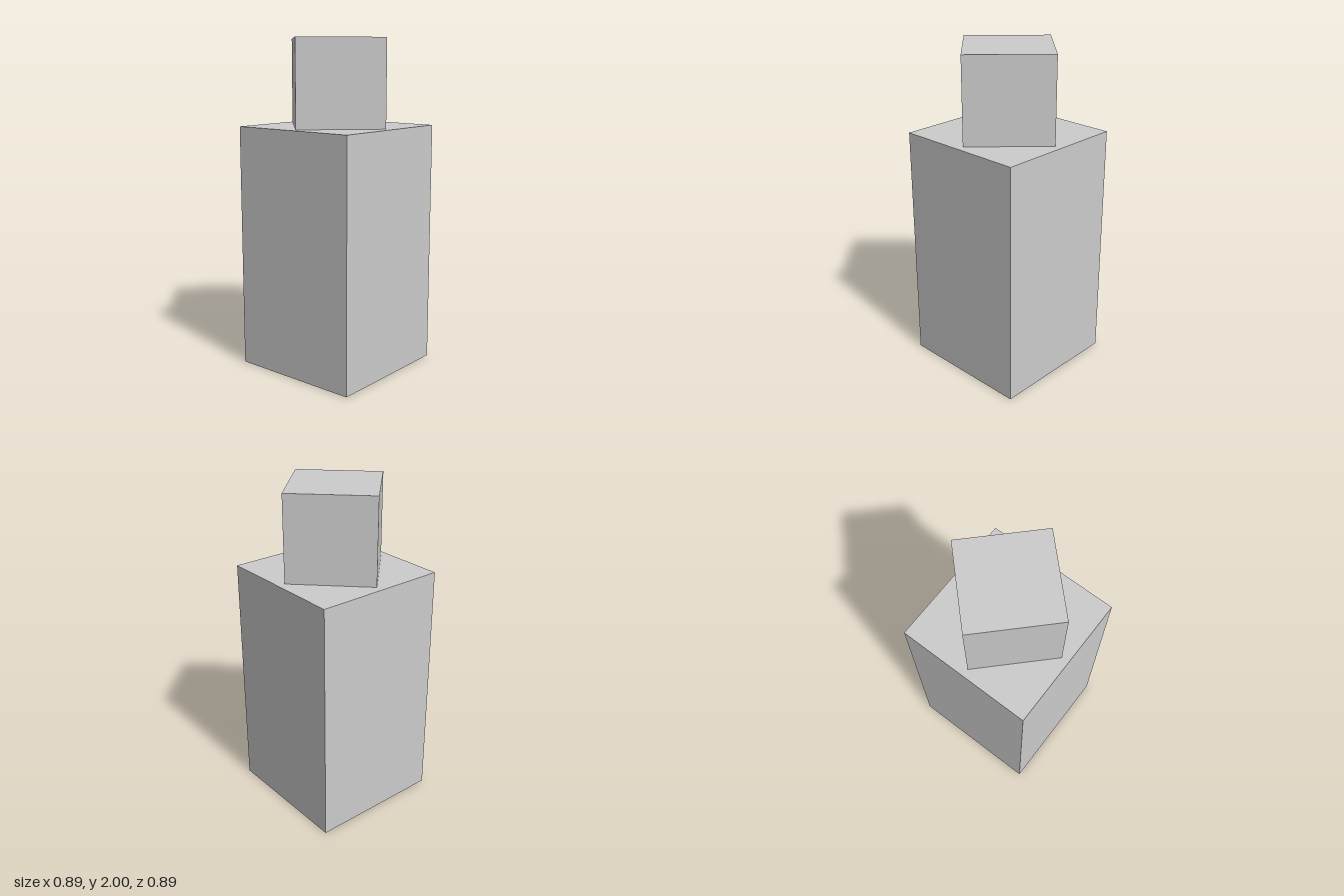
import * as THREE from 'three';

// Square block standing on height y, turned about the vertical axis
function block(name, side, height, y, degrees) {
  const material = new THREE.MeshStandardMaterial({ color: 0xcccccc, flatShading: true });
  const mesh = new THREE.Mesh(new THREE.BoxGeometry(side, height, side), material);
  mesh.name = name;
  mesh.position.y = y + height / 2;
  mesh.rotation.y = THREE.MathUtils.degToRad(degrees);
  return mesh;
}

export function createModel() {
  const group = new THREE.Group();
  group.name = 'stackedBlocks';

  const bodyHeight = 1.4824;
  const capSize = 2 - bodyHeight;

  // Tall lower block, slightly turned
  group.add(block('lowerBlock', 0.8235, bodyHeight, 0, 5));
  // Cube on top, turned a further 45 degrees
  group.add(block('upperCube', capSize, capSize, bodyHeight, 50));

  return group;
}
